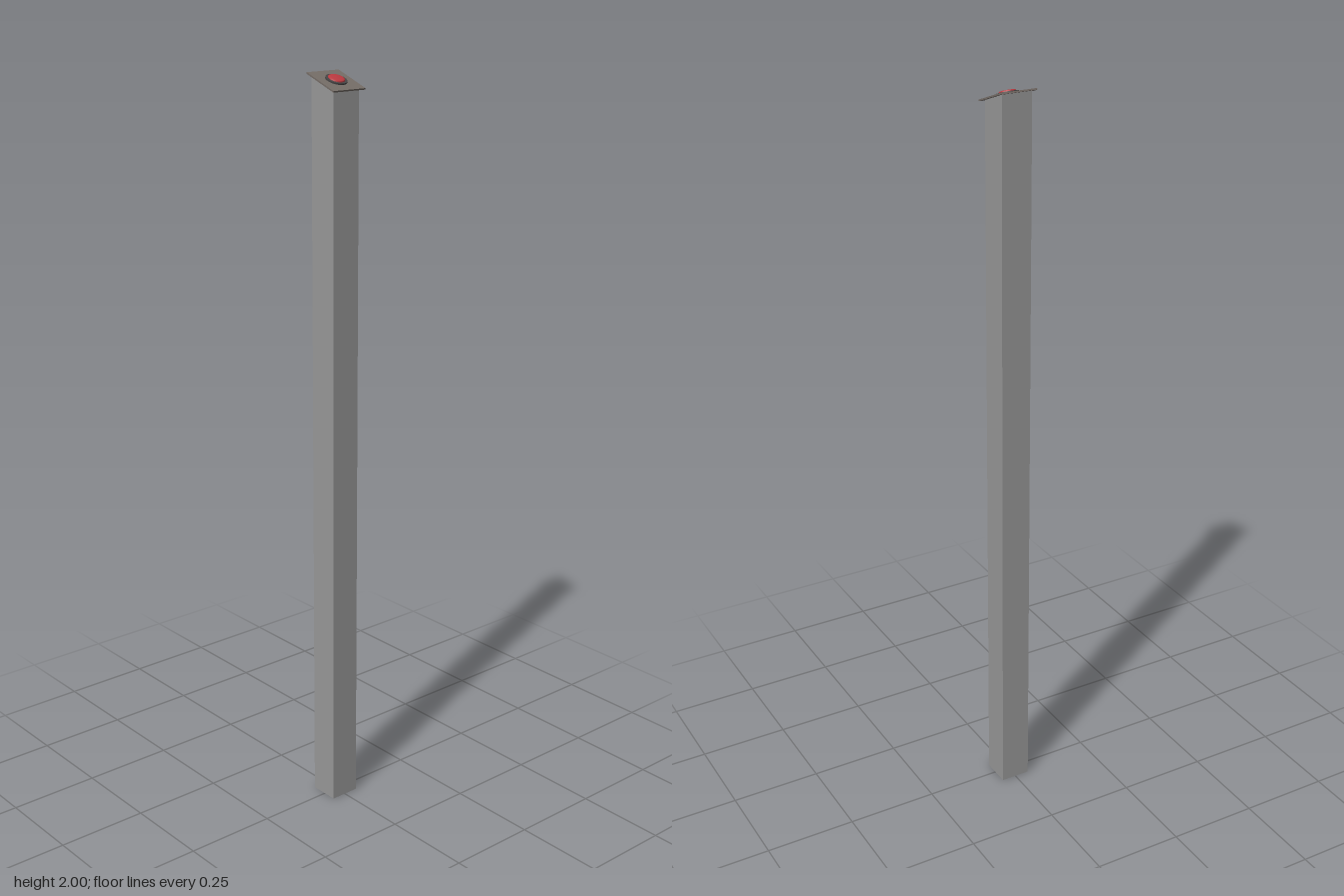
import * as THREE from 'three';

export function createModel() {
  const model = new THREE.Group();
  const paint = (name, color) => {
    const m = new THREE.MeshStandardMaterial({ color });
    m.name = name;
    return m;
  };
  const postGrey = paint('post grey', 0x989898);
  const plateBrown = paint('plate brown grey', 0x756d67);
  const ringDark = paint('ring dark grey', 0x484646);
  const buttonRed = paint('button red', 0xbc3a40);

  const tilt = THREE.MathUtils.degToRad(20);
  const headY = 1.9795;

  const add = (parent, name, geometry, material, y = 0) => {
    const mesh = new THREE.Mesh(geometry, material);
    mesh.name = name;
    mesh.position.y = y;
    parent.add(mesh);
    return mesh;
  };

  // Square post whose top is cut to the slope of the plate
  const postGeo = new THREE.BoxGeometry(0.083, 1, 0.083).translate(-0.003, 0.5, 0);
  const p = postGeo.attributes.position;
  for (let i = 0; i < p.count; i++) {
    if (p.getY(i) > 0.5) p.setY(i, headY - 0.001 - p.getX(i) * Math.tan(tilt));
  }
  postGeo.computeVertexNormals();
  add(model, 'post', postGeo, postGrey);

  // Sloping head: plate, button collar and button, sharing one tilt
  const head = new THREE.Group();
  head.name = 'head';
  head.position.y = headY;
  head.rotation.z = -tilt;
  model.add(head);

  add(head, 'plate', new THREE.BoxGeometry(0.109, 0.004, 0.103), plateBrown);
  add(head, 'buttonCollar', new THREE.CylinderGeometry(0.028, 0.028, 0.004, 32), ringDark, 0.004);

  // Low button with a softly rounded edge
  const profile = [[0.0215, 0], [0.0215, 0.003], [0.0195, 0.0045], [0.014, 0.0054], [0, 0.006]]
    .map(([r, y]) => new THREE.Vector2(r, y));
  add(head, 'button', new THREE.LatheGeometry(profile, 32), buttonRed, 0.005);

  return model;
}
